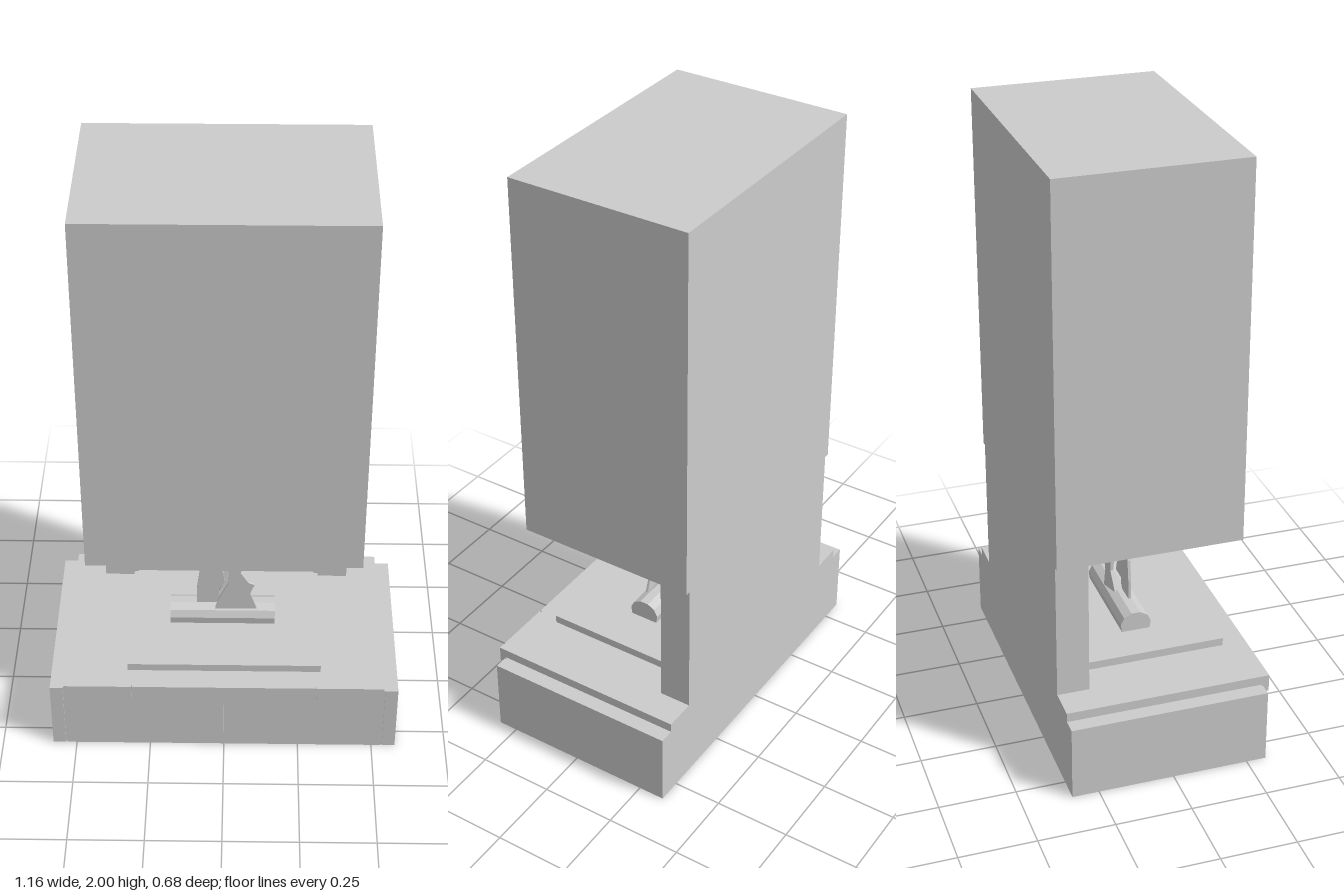
import * as THREE from 'three';

const material = new THREE.MeshStandardMaterial({ color: 0xcccccc, flatShading: true });

// Box given by its limits on each axis
function block(name, x0, x1, y0, y1, z0, z1) {
  const mesh = new THREE.Mesh(new THREE.BoxGeometry(x1 - x0, y1 - y0, z1 - z0), material);
  mesh.position.set((x0 + x1) / 2, (y0 + y1) / 2, (z0 + z1) / 2);
  mesh.name = name;
  return mesh;
}

// Outline extruded along z and centred on its own thickness
function extruded(name, points, depth) {
  const shape = new THREE.Shape(points.map(([x, y]) => new THREE.Vector2(x, y)));
  const geometry = new THREE.ExtrudeGeometry(shape, { depth, bevelEnabled: false });
  geometry.translate(0, 0, -depth / 2);
  const mesh = new THREE.Mesh(geometry, material);
  mesh.name = name;
  return mesh;
}

export function createModel() {
  const model = new THREE.Group();
  model.name = 'fireplace';
  const back = -0.338, gap = 0.002;

  // Plinth: core with facing panels separated by fine joints
  model.add(block('plinthCore', -0.58, 0.58, 0, 0.253, back, 0.31));
  const joints = [-0.58, -0.535, 0, 0.535, 0.58];
  for (let i = 0; i < 4; i++) {
    model.add(block('plinthPanel', joints[i] + (i ? gap : 0), joints[i + 1] - (i < 3 ? gap : 0), 0, 0.253, 0.31, 0.315));
  }

  // Hearth slab in three pieces
  model.add(block('hearthSlab', -0.53, 0.53, 0.225, 0.284, back, 0.332));
  const seams = [-0.53, -0.305, 0.305, 0.53];
  for (let i = 0; i < 3; i++) {
    model.add(block('hearthSlabEdge', seams[i] + (i ? gap : 0), seams[i + 1] - (i < 2 ? gap : 0), 0.225, 0.284, 0.332, 0.338));
  }

  // Rear wall and chimney hood
  model.add(block('rearWall', -0.425, 0.425, 0.284, 0.75, back, -0.232));
  model.add(block('chimneyHood', -0.443, 0.443, 0.75, 2, back, 0.268));

  // Firebox: floor, ceiling, back plate and slim side trims
  model.add(block('fireboxFloor', -0.322, 0.322, 0.284, 0.311, -0.232, 0.258));
  model.add(block('fireboxCeiling', -0.322, 0.322, 0.724, 0.75, -0.232, 0.258));
  model.add(block('fireboxBack', -0.307, 0.307, 0.311, 0.724, -0.232, -0.222));
  for (const side of [-1, 1]) {
    const trim = block('fireboxTrim', -0.0075, 0.0075, 0.311, 0.724, -0.232, -0.216);
    trim.position.x = side * 0.3145;
    model.add(trim);
  }

  // Faceted log lying across the firebox
  const log = extruded('log', [
    [-0.048, 0.311], [0.048, 0.311], [0.052, 0.338], [0.04, 0.362],
    [0.015, 0.376], [-0.015, 0.376], [-0.04, 0.362], [-0.052, 0.338],
  ], 0.355);
  log.rotation.y = Math.PI / 2;
  log.position.set(-0.008, 0, 0.003);
  model.add(log);

  // Thin flames rising from the log
  const tall = extruded('tallFlame', [
    [-0.035, 0.36], [0.11, 0.36], [0.085, 0.434], [0.1, 0.472], [0.08, 0.48], [0.053, 0.524],
    [0.065, 0.565], [0.047, 0.65], [0.025, 0.59], [0.015, 0.52], [0.01, 0.475], [-0.02, 0.41],
  ], 0.008);
  tall.position.z = 0.033;
  const left = extruded('leftFlame', [
    [-0.095, 0.36], [-0.04, 0.36], [-0.016, 0.395], [-0.022, 0.433], [-0.002, 0.465], [-0.006, 0.505],
    [-0.022, 0.56], [-0.037, 0.525], [-0.063, 0.57], [-0.085, 0.515], [-0.095, 0.44],
  ], 0.01);
  left.position.z = 0.012;
  const rear = extruded('rearFlame', [
    [-0.04, 0.36], [0.04, 0.36], [0.03, 0.43], [0.045, 0.5], [0.015, 0.6],
    [0.005, 0.54], [-0.01, 0.5], [-0.005, 0.44],
  ], 0.012);
  rear.position.z = -0.022;
  rear.rotation.y = 0.2;
  model.add(tall, left, rear);

  return model;
}
